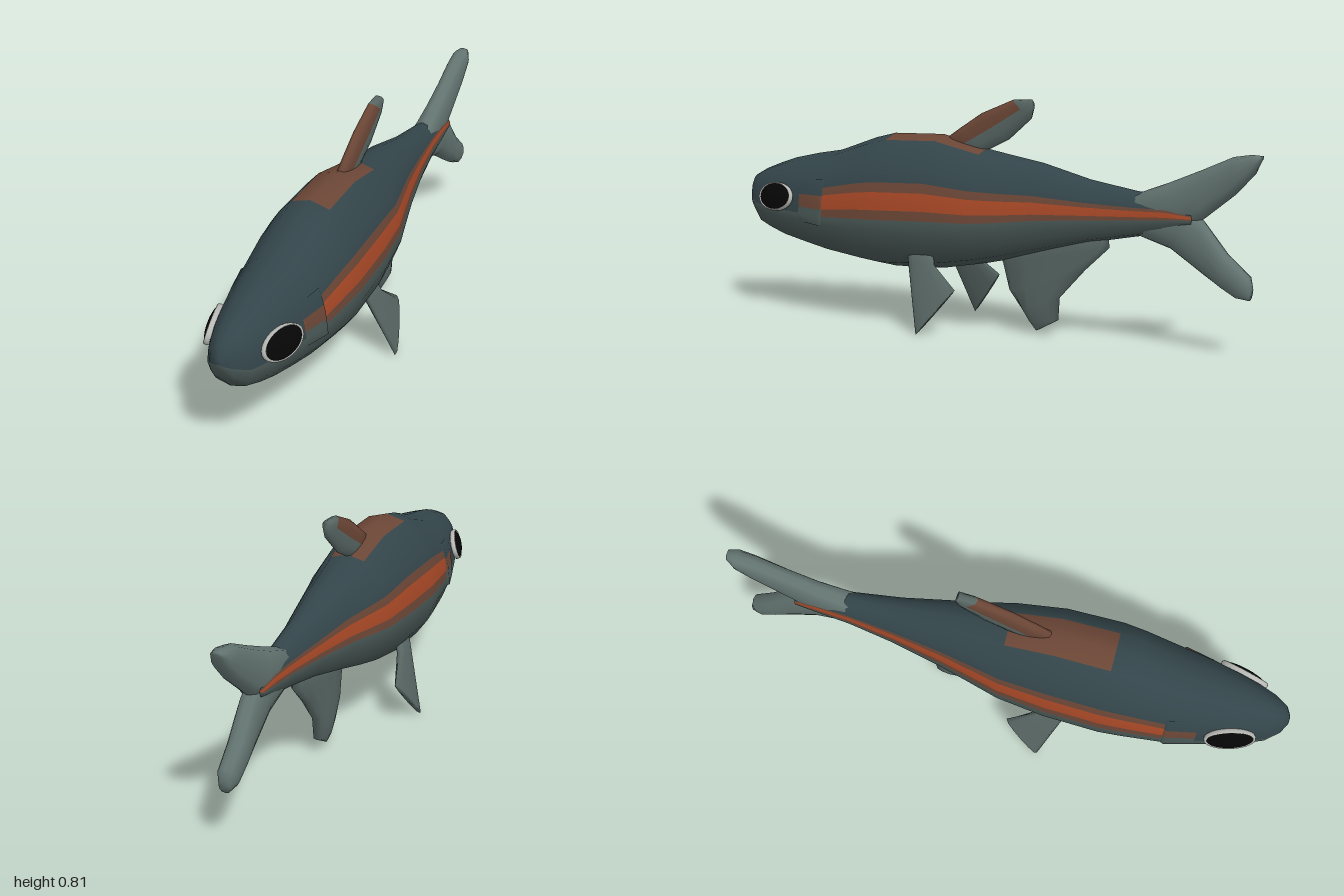
import * as THREE from 'three';

const BACK = 0x33454a, BELLY = 0x485755, STRIPE = 0xa84826, EDGE = 0x6b4636, FIN = 0x586764, TAIL = 0x627370;

// Joins closed rings of points into a smooth skin; paint(column, midZ) gives each strip its colour (null = leave out)
function loft(name, rings, paint, caps = true) {
  const group = new THREE.Group();
  group.name = name;
  const n = rings[0].length;
  if (caps) {
    const collapse = (ring) => {
      const c = ring.reduce((s, p) => s.add(p), new THREE.Vector3()).divideScalar(n);
      return ring.map(() => c);
    };
    rings = [collapse(rings[0]), ...rings, collapse(rings[rings.length - 1])];
  }
  const base = new THREE.BufferGeometry().setFromPoints(rings.flat());
  const all = [], byColor = new Map();
  for (let i = 0; i < rings.length - 1; i++) {
    for (let j = 0; j < n; j++) {
      const a = i * n + j, b = i * n + (j + 1) % n, c = a + n, d = b + n;
      const quad = [a, c, b, b, c, d];
      all.push(...quad);
      const color = paint(j, (rings[i][j].z + rings[i + 1][j].z) / 2);
      if (color === null) continue;
      if (!byColor.has(color)) byColor.set(color, []);
      byColor.get(color).push(...quad);
    }
  }
  base.setIndex(all);
  base.computeVertexNormals();
  let count = 0;
  for (const [color, index] of byColor) {
    const geo = base.clone().setIndex(index);
    const mesh = new THREE.Mesh(geo, new THREE.MeshStandardMaterial({ color, side: THREE.DoubleSide }));
    mesh.name = `${name}Skin${++count}`;
    group.add(mesh);
  }
  return group;
}

// Body cross-section: height fraction and width fraction from belly to back
const T = [0, 0.07, 0.18, 0.32, 0.4, 0.47, 0.53, 0.6, 0.67, 0.75, 0.85, 0.96, 1];
const W = [0, 0.66, 0.87, 1, 0.985, 0.965, 0.95, 0.915, 0.87, 0.8, 0.63, 0.37, 0];
const half = (j) => (j < 12 ? j : 23 - j);

function bodyRing([z, top, bottom, w]) {
  const ring = [];
  for (let j = 0; j < 24; j++) {
    const k = j <= 12 ? j : 24 - j;
    ring.push(new THREE.Vector3((j <= 12 ? 1 : -1) * w * W[k], bottom + (top - bottom) * T[k], z));
  }
  return ring;
}

// Fin from sections [leadZ, leadY, trailZ, trailY, halfThickness], each a rounded lens
function fin(name, sections, paint, shiftX = () => 0) {
  const rings = sections.map(([lz, ly, tz, ty, h]) => {
    const ring = [];
    for (let j = 0; j < 12; j++) {
      const a = (j / 12) * Math.PI * 2, f = (1 - Math.cos(a)) / 2;
      const y = ly + (ty - ly) * f, s = Math.sin(a);
      const x = Math.sign(s) * h * Math.pow(Math.abs(s), 0.7);
      ring.push(new THREE.Vector3(x + shiftX(y), y, lz + (tz - lz) * f));
    }
    return ring;
  });
  return loft(name, rings, paint);
}

function eye(s) {
  const group = new THREE.Group();
  group.name = s > 0 ? 'leftEye' : 'rightEye';
  const pupil = new THREE.Mesh(
    new THREE.SphereGeometry(1, 24, 16).scale(0.02, 0.05, 0.084),
    new THREE.MeshStandardMaterial({ color: 0x060606 }));
  pupil.name = 'pupil';
  const rim = new THREE.Mesh(
    new THREE.TorusGeometry(1, 0.07, 8, 32).rotateY(Math.PI / 2).scale(0.14, 0.05, 0.084),
    new THREE.MeshStandardMaterial({ color: 0xb8b8b4 }));
  rim.name = 'eyeRim';
  group.add(pupil, rim);
  group.position.set(s * 0.121, 0.43, 0.815);
  group.rotation.set(0, -0.27 * s, 0.28 * s);
  return group;
}

export function createModel() {
  const fish = new THREE.Group();
  fish.name = 'fish';

  // Body stations from nose to tail: z, top, bottom, half width
  const stations = [
    [0.998, 0.445, 0.41, 0.015], [0.98, 0.49, 0.36, 0.045], [0.935, 0.515, 0.31, 0.078],
    [0.87, 0.54, 0.285, 0.103], [0.8, 0.563, 0.263, 0.122], [0.7, 0.585, 0.243, 0.147],
    [0.6, 0.602, 0.223, 0.165], [0.45, 0.655, 0.2, 0.182], [0.37, 0.675, 0.19, 0.188],
    [0.17, 0.68, 0.2, 0.184], [0, 0.638, 0.232, 0.165], [-0.1, 0.62, 0.255, 0.14],
    [-0.22, 0.6, 0.288, 0.112], [-0.4, 0.553, 0.338, 0.077], [-0.57, 0.525, 0.372, 0.053],
    [-0.68, 0.515, 0.39, 0.046], [-0.77, 0.475, 0.425, 0.04],
  ];
  fish.add(loft('body', stations.map(bodyRing), (j, z) => {
    const k = half(j);
    if (k >= 4 && k <= 7 && z < 0.66) return k === 5 || k === 6 ? STRIPE : EDGE;
    if (k === 11 && z > 0 && z < 0.35) return EDGE;
    return k < 4 ? BELLY : BACK;
  }));

  // Gill covers: slightly raised side plates behind the eyes
  const gill = [[0.7, 0.585, 0.243, 0.148], [0.6, 0.602, 0.223, 0.172], [0.588, 0.604, 0.221, 0.165]];
  fish.add(loft('gillCovers', gill.map(bodyRing), (j) => {
    const k = half(j);
    if (k < 3 || k > 8) return null;
    return k === 5 || k === 6 ? EDGE : k < 5 ? BELLY : BACK;
  }, false));

  // Forked tail
  fish.add(fin('upperTailLobe', [
    [-0.55, 0.51, -0.55, 0.4, 0.045], [-0.68, 0.56, -0.75, 0.41, 0.04], [-0.79, 0.607, -0.8, 0.445, 0.037],
    [-0.9, 0.657, -0.91, 0.535, 0.036], [-0.96, 0.667, -0.97, 0.6, 0.034], [-0.996, 0.665, -0.99, 0.645, 0.02],
  ], () => TAIL));
  fish.add(fin('lowerTailLobe', [
    [-0.55, 0.385, -0.55, 0.49, 0.045], [-0.69, 0.34, -0.75, 0.48, 0.04], [-0.81, 0.26, -0.8, 0.445, 0.037],
    [-0.87, 0.222, -0.885, 0.34, 0.036], [-0.92, 0.195, -0.965, 0.27, 0.034], [-0.965, 0.19, -0.972, 0.235, 0.02],
  ], () => TAIL));

  // Swept-back dorsal fin with a rust leading edge
  fish.add(fin('dorsalFin', [
    [0.17, 0.66, 0.06, 0.61, 0.02], [0.1, 0.708, 0, 0.63, 0.02], [0.02, 0.76, -0.09, 0.675, 0.02],
    [-0.105, 0.812, -0.175, 0.75, 0.02], [-0.17, 0.815, -0.18, 0.785, 0.018],
  ], (j, z) => ((j < 3 || j > 8) && z > -0.12 ? EDGE : FIN)));

  // Anal fin
  fish.add(fin('analFin', [
    [-0.04, 0.29, -0.46, 0.39, 0.028], [-0.065, 0.24, -0.47, 0.325, 0.028], [-0.09, 0.145, -0.38, 0.24, 0.028],
    [-0.14, 0.08, -0.285, 0.135, 0.028], [-0.165, 0.045, -0.28, 0.055, 0.022], [-0.195, 0.01, -0.205, 0.014, 0.004],
  ], () => FIN));

  // Splayed pelvic fins and eyes, mirrored
  for (const s of [1, -1]) {
    fish.add(fin(s > 0 ? 'leftPelvicFin' : 'rightPelvicFin', [
      [0.25, 0.29, 0.14, 0.27, 0.014], [0.24, 0.25, 0.13, 0.235, 0.015], [0.165, 0, 0.037, 0.16, 0.014],
    ], () => FIN, (y) => s * (0.14 + (0.25 - y) * 0.31)));
    fish.add(eye(s));
  }
  return fish;
}
